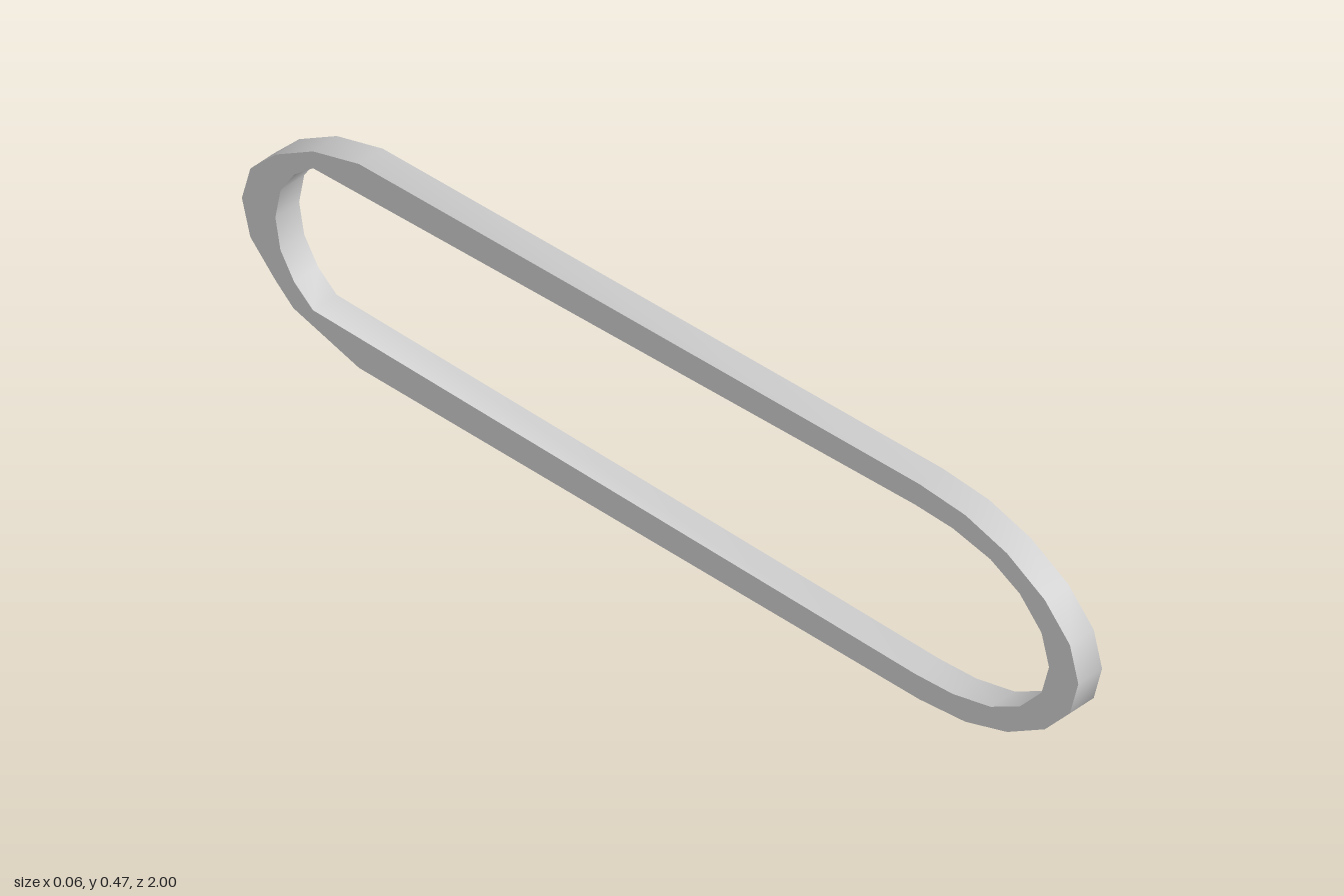
import * as THREE from 'three';
import { toCreasedNormals } from 'three/addons/utils/BufferGeometryUtils.js';

const MID = 0.2365, WIDTH = 0.06;

// Upper halves of the loop as [z, height above the middle], front to back
const outer = [[1, 0], [0.98, 0.075], [0.92, 0.142], [0.83, 0.196], [0.73, 0.227], [0.62, 0.2365],
  [-0.72, 0.224], [-0.83, 0.193], [-0.92, 0.138], [-0.98, 0.075], [-1, 0]];
const inner = [[0.93, 0], [0.912, 0.066], [0.86, 0.124], [0.79, 0.162], [0.70, 0.182], [0.61, 0.186],
  [-0.83, 0.156], [-0.875, 0.118], [-0.908, 0.065], [-0.92, 0]];

// Closes a half profile by mirroring it below the middle
function closedLoop(half) {
  const lower = half.slice(1, -1).reverse().map(([z, h]) => [z, -h]);
  return [...half, ...lower].map(([z, h]) => new THREE.Vector2(z, MID + h));
}

export function createModel() {
  const group = new THREE.Group();
  const shape = new THREE.Shape(closedLoop(outer));
  shape.holes.push(new THREE.Path(closedLoop(inner)));

  let band = new THREE.ExtrudeGeometry(shape, { depth: WIDTH, bevelEnabled: false });
  band.translate(0, 0, -WIDTH / 2);
  band.rotateY(-Math.PI / 2);

  // Skewed corner under the back end: cut in on +x, pulled out on -x
  const pos = band.attributes.position;
  for (let i = 0; i < pos.count; i++) {
    if (Math.hypot(pos.getZ(i) + 0.83, pos.getY(i) - (MID - 0.193)) > 0.005) continue;
    if (pos.getX(i) > 0) pos.setY(i, 0.062);
    else { pos.setY(i, 0.06); pos.setZ(i, -0.877); }
  }
  band = toCreasedNormals(band, 0.75);

  const mesh = new THREE.Mesh(band, new THREE.MeshStandardMaterial({ color: 0xcccccc }));
  mesh.name = 'loopBand';
  group.add(mesh);
  return group;
}
